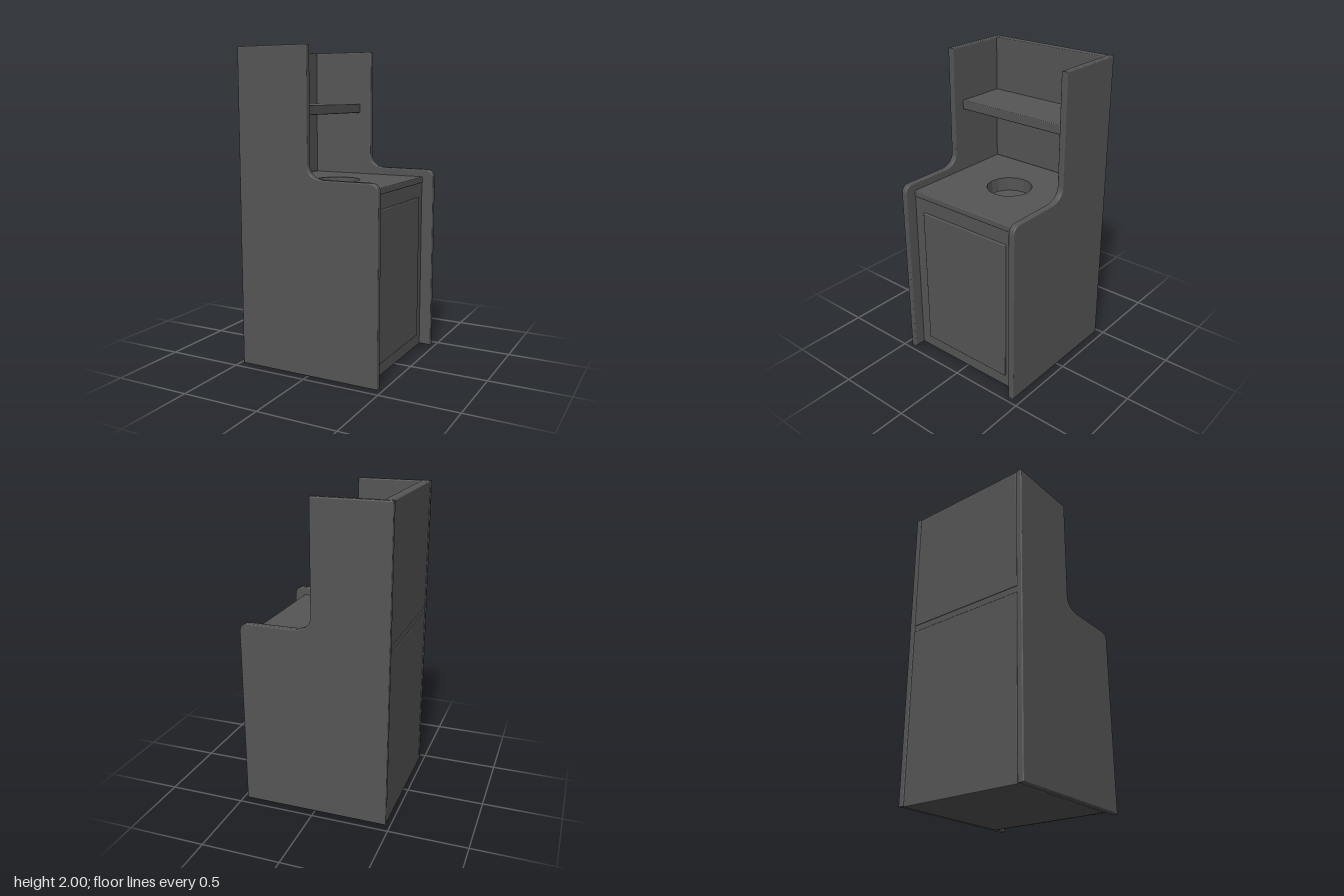
import * as THREE from 'three';
import { RoundedBoxGeometry } from 'three/addons/geometries/RoundedBoxGeometry.js';

export function createModel() {
  const model = new THREE.Group();
  const mat = new THREE.MeshStandardMaterial({ color: 0x555555 });

  function add(name, geometry, parent = model) {
    const mesh = new THREE.Mesh(geometry, mat);
    mesh.name = name;
    parent.add(mesh);
    return mesh;
  }

  // Board with softened edges, given by its limits on each axis
  function panel(name, x0, x1, y0, y1, z0, z1) {
    const mesh = add(name, new RoundedBoxGeometry(x1 - x0, y1 - y0, z1 - z0, 2, 0.006));
    mesh.position.set((x0 + x1) / 2, (y0 + y1) / 2, (z0 + z1) / 2);
    return mesh;
  }

  // Side walls: tall back, swept step down to the counter, rounded front corner
  const side = new THREE.Shape();
  side.moveTo(-0.472, 0.005);
  side.lineTo(0.472, 0.005);
  side.lineTo(0.472, 1.16);
  side.quadraticCurveTo(0.472, 1.22, 0.41, 1.22);
  side.lineTo(0.12, 1.22);
  side.bezierCurveTo(0.055, 1.22, 0.01, 1.25, 0.01, 1.31);
  side.lineTo(0.01, 2);
  side.lineTo(-0.472, 2);
  side.closePath();
  const bevel = 0.007;
  const sideGeometry = new THREE.ExtrudeGeometry(side, {
    depth: 0.041 - 2 * bevel, bevelThickness: bevel, bevelSize: bevel,
    bevelOffset: -bevel, bevelSegments: 3, curveSegments: 12,
  });
  sideGeometry.translate(0, 0, -0.0205 + bevel);
  for (const [name, z] of [['leftSideWall', 0.433], ['rightSideWall', -0.433]]) {
    add(name, sideGeometry).position.z = z;
  }

  // Panels between the side walls
  const w = 0.415;
  panel('floorPanel', -0.47, 0.37, 0, 0.05, -w, w);
  panel('lowerBackPanel', -0.47, -0.41, 0.002, 1.13, -w, w);
  panel('upperBackPanel', -0.47, -0.41, 1.17, 2, -w, w);
  panel('shelf', -0.42, -0.07, 1.59, 1.65, -w, w);
  panel('frontPanel', 0.34, 0.396, 0.005, 1.13, -w, w);
  panel('frontDoor', 0.38, 0.409, 0.09, 1.04, -0.335, 0.335);
  panel('counterEdge', 0.35, 0.4, 1.13, 1.17, -w, w);

  // Counter with a sixteen-sided opening
  const cx = -0.032, cz = -0.01, r = 0.146, sides = 16;
  const top = new THREE.Shape([
    new THREE.Vector2(-0.467, -w), new THREE.Vector2(0.365, -w),
    new THREE.Vector2(0.365, w), new THREE.Vector2(-0.467, w),
  ]);
  const ring = [];
  for (let i = 0; i < sides; i++) {
    const a = (i / sides) * Math.PI * 2;
    ring.push(new THREE.Vector2(cx + r * Math.cos(a), -cz + r * Math.sin(a)));
  }
  top.holes.push(new THREE.Path(ring));
  const counter = new THREE.ExtrudeGeometry(top, { depth: 0.04, bevelEnabled: false });
  counter.rotateX(-Math.PI / 2);
  add('counter', counter).position.y = 1.13;

  // Shallow basin below the opening
  const basin = new THREE.Group();
  basin.name = 'basin';
  basin.position.set(cx, 1.08, cz);
  model.add(basin);
  const wall = new THREE.CylinderGeometry(r, r, 0.05, sides, 1, true);
  wall.translate(0, 0.025, 0);
  add('basinWall', wall, basin).material = new THREE.MeshStandardMaterial({
    color: 0x555555, flatShading: true, side: THREE.DoubleSide,
  });
  const base = new THREE.CircleGeometry(r, sides);
  base.rotateX(-Math.PI / 2);
  add('basinFloor', base, basin);

  return model;
}
